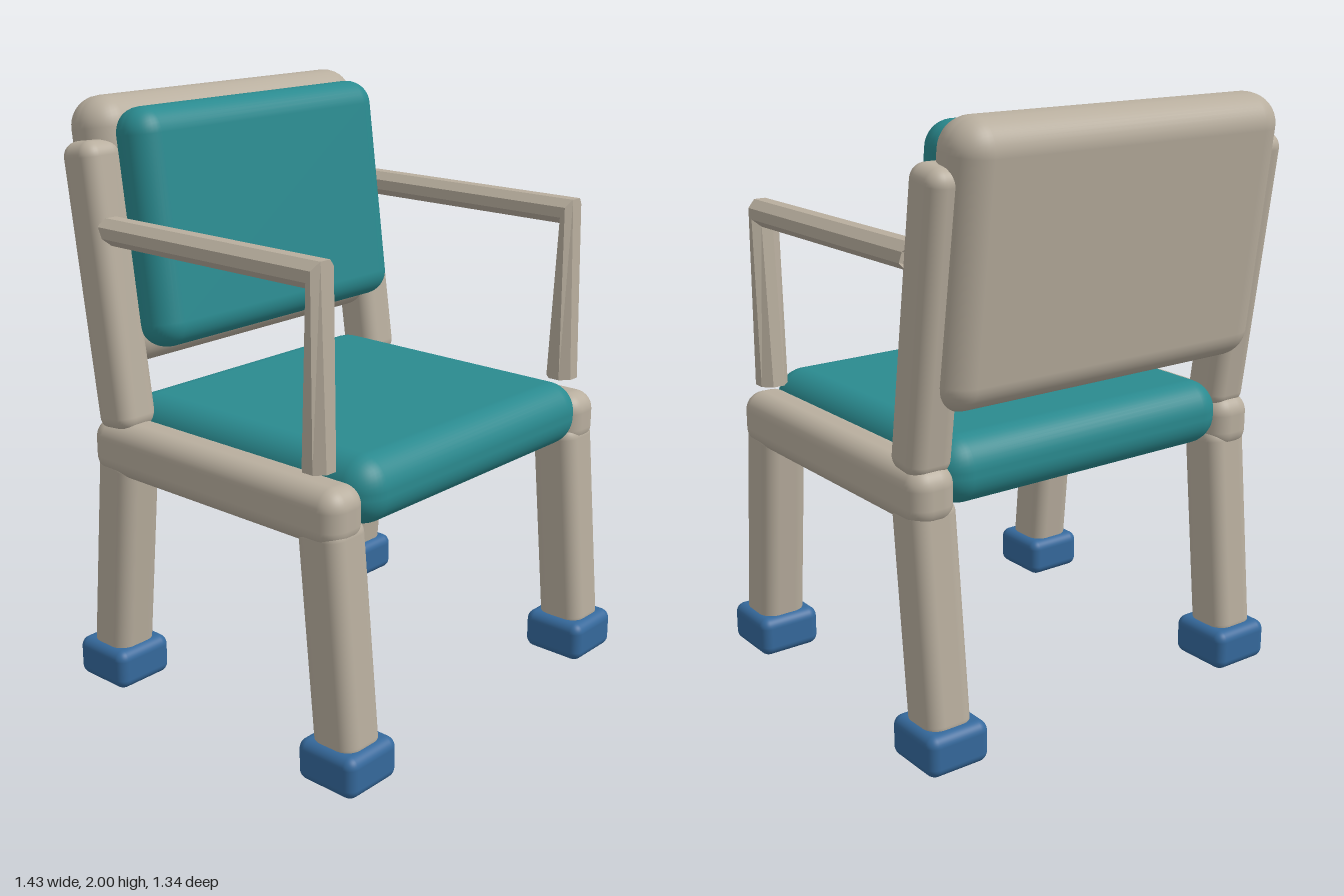
import * as THREE from 'three';
import { RoundedBoxGeometry } from 'three/addons/geometries/RoundedBoxGeometry.js';

const frameMat = new THREE.MeshStandardMaterial({ color: 0xb8ae9e });
const cushionMat = new THREE.MeshStandardMaterial({ color: 0x2a8a8f });
const footMat = new THREE.MeshStandardMaterial({ color: 0x35699c });
const armMat = new THREE.MeshStandardMaterial({ color: 0xb8ae9e, flatShading: true, side: THREE.DoubleSide });

// Soft-edged block, leaning about the x axis
function block(name, mat, size, radius, pos, lean = 0) {
  const mesh = new THREE.Mesh(new RoundedBoxGeometry(...size, 5, radius), mat);
  mesh.name = name;
  mesh.position.set(...pos);
  mesh.rotation.x = lean;
  return mesh;
}

// Bent eight-sided armrest tube: upright, mitred corner, horizontal bar
function armrestGeometry() {
  const sides = 8, halfWidth = 0.05;
  // each section: centre y, centre z, half axis y, half axis z
  const sections = [
    [1.0, 0.47, 0, 0.05],
    [1.588, 0.477, 0.043, 0.022],
    [1.59, -0.42, 0.043, -0.02],
  ];
  const points = [], faces = [];
  for (const [y, z, ay, az] of sections) {
    for (let i = 0; i < sides; i++) {
      const a = ((i + 0.5) / sides) * Math.PI * 2;
      const s = Math.sin(a) / Math.sin((3 * Math.PI) / 8);
      points.push(Math.cos(a) * halfWidth * 1.08, y + ay * s, z + az * s);
    }
  }
  for (let r = 0; r < sections.length - 1; r++) {
    for (let i = 0; i < sides; i++) {
      const a = r * sides + i, b = r * sides + ((i + 1) % sides);
      faces.push(a, a + sides, b, b, a + sides, b + sides);
    }
  }
  const geometry = new THREE.BufferGeometry();
  geometry.setAttribute('position', new THREE.Float32BufferAttribute(points, 3));
  // wind the faces outwards
  for (let i = 0; i < faces.length; i += 3) {
    [faces[i + 1], faces[i + 2]] = [faces[i + 2], faces[i + 1]];
  }
  geometry.setIndex(faces);
  geometry.computeVertexNormals();
  return geometry;
}

export function createModel() {
  const chair = new THREE.Group();
  chair.name = 'armchair';

  // Seat and backrest
  chair.add(
    block('seatCushion', cushionMat, [1.15, 0.22, 1.1], 0.1, [0, 0.91, 0.055]),
    block('backPanel', frameMat, [1.25, 0.88, 0.21], 0.1, [0, 1.56, -0.52], -0.13),
    block('backCushion', cushionMat, [1.14, 0.78, 0.18], 0.085, [0, 1.582, -0.378], -0.13),
  );

  // Legs, feet, rails, posts and armrests on both sides
  const armGeometry = armrestGeometry();
  for (const [side, s] of [['left', 1], ['right', -1]]) {
    const half = new THREE.Group();
    half.name = `${side}Side`;
    const x = s * 0.607;
    half.add(
      block('sideRail', frameMat, [0.165, 0.19, 1.09], 0.065, [s * 0.615, 0.865, 0.04]),
      block('frontLeg', frameMat, [0.165, 0.76, 0.17], 0.05, [x, 0.47, 0.528], -0.09),
      block('backLeg', frameMat, [0.165, 0.76, 0.165], 0.05, [x, 0.47, -0.446], 0.1),
      block('frontFoot', footMat, [0.225, 0.14, 0.23], 0.035, [x - s * 0.002, 0.07, 0.56]),
      block('backFoot', footMat, [0.225, 0.14, 0.23], 0.035, [x - s * 0.002, 0.07, -0.483]),
      block('backPost', frameMat, [0.155, 0.95, 0.155], 0.05, [s * 0.61, 1.395, -0.466], -0.14),
    );
    const arm = new THREE.Mesh(armGeometry, armMat);
    arm.name = 'armrest';
    arm.position.x = s * 0.63;
    half.add(arm);
    chair.add(half);
  }
  return chair;
}
